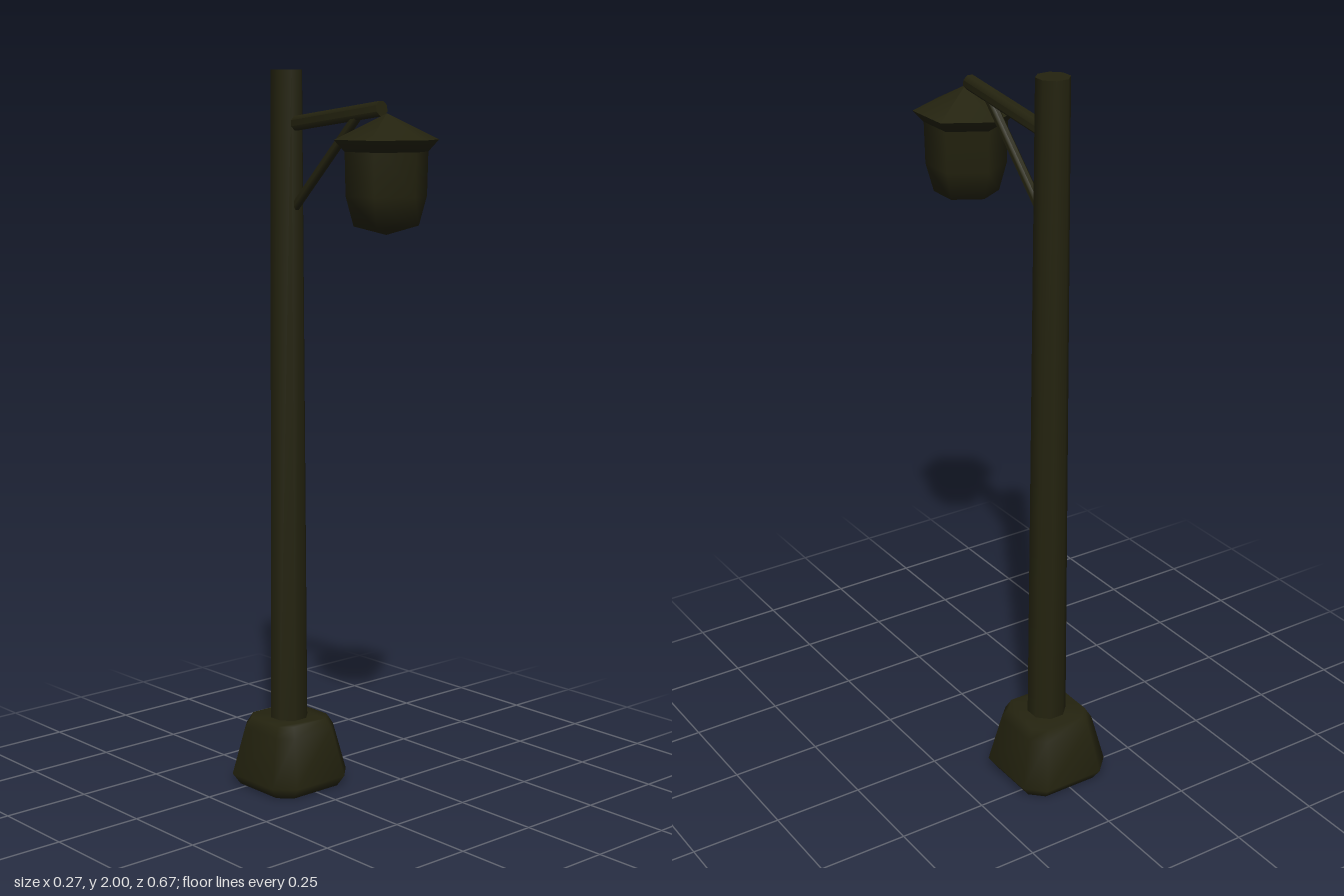
import * as THREE from 'three';
import { toCreasedNormals } from 'three/addons/utils/BufferGeometryUtils.js';

const iron = new THREE.MeshStandardMaterial({ color: 0x24230f });
iron.name = 'darkIron';
const POLE_Z = -0.198, LAMP_Z = 0.197;

function add(group, name, geometry) {
  const mesh = new THREE.Mesh(geometry, iron);
  mesh.name = name;
  group.add(mesh);
  return mesh;
}

// Revolved profile with few sides; points are [radius, height]
function turned(points, sides, phase = 0) {
  return new THREE.LatheGeometry(points.map(p => new THREE.Vector2(...p)), sides, phase);
}

// Square block with cut corners; rings are [height, half width, corner cut]
function chamferedBlock(rings) {
  const pos = [], idx = [], n = rings.length;
  for (const [y, h, c] of rings) {
    const k = h - c;
    for (const [x, z] of [[k, h], [h, k], [h, -k], [k, -h], [-k, -h], [-h, -k], [-h, k], [-k, h]]) pos.push(x, y, z);
  }
  for (let r = 0; r < n - 1; r++) {
    for (let i = 0; i < 8; i++) {
      const a = r * 8 + i, b = r * 8 + (i + 1) % 8;
      idx.push(a, b, b + 8, a, b + 8, a + 8);
    }
  }
  for (let i = 1; i < 7; i++) {
    const t = (n - 1) * 8;
    idx.push(0, i + 1, i, t, t + i, t + i + 1);
  }
  const g = new THREE.BufferGeometry();
  g.setAttribute('position', new THREE.Float32BufferAttribute(pos, 3));
  g.setIndex(idx);
  g.computeVertexNormals();
  return g;
}

// Straight octagonal bar between two points in the x = 0 plane, given as [y, z]
function bar(group, name, from, to, halfWidth) {
  const a = new THREE.Vector3(0, ...from), b = new THREE.Vector3(0, ...to);
  const dir = b.clone().sub(a), r = halfWidth / Math.cos(Math.PI / 8);
  const g = new THREE.CylinderGeometry(r, r, dir.length(), 8, 1, false, Math.PI / 8);
  const mesh = add(group, name, toCreasedNormals(g, 0.9));
  mesh.position.copy(a).add(b).multiplyScalar(0.5);
  mesh.quaternion.setFromUnitVectors(new THREE.Vector3(0, 1, 0), dir.normalize());
}

export function createModel() {
  const model = new THREE.Group();
  model.name = 'streetLamp';

  // Footing
  add(model, 'base', chamferedBlock([
    [0, 0.115, 0.035], [0.032, 0.137, 0.049], [0.168, 0.106, 0.038], [0.197, 0.09, 0.032],
  ])).position.z = POLE_Z;

  // Tapered octagonal pole
  const k = 1 / Math.cos(Math.PI / 8);
  const pole = new THREE.CylinderGeometry(0.041 * k, 0.05 * k, 1.805, 8, 1, false, Math.PI / 8);
  add(model, 'pole', toCreasedNormals(pole, 0.9)).position.set(0, 1.0975, POLE_Z);

  // Arm and its diagonal brace
  bar(model, 'arm', [1.855, -0.19], [1.9, 0.178], 0.019);
  bar(model, 'brace', [1.622, -0.178], [1.882, 0.088], 0.012);

  // Hanging hexagonal lantern
  const lantern = new THREE.Group();
  lantern.name = 'lantern';
  lantern.position.z = LAMP_Z;
  model.add(lantern);
  add(lantern, 'lanternBody', turned([[0, 1.58], [0.086, 1.603], [0.107, 1.68], [0.11, 1.81]], 6));
  add(lantern, 'roofUnderside', turned([[0, 1.79], [0.108, 1.79], [0.138, 1.822]], 6));
  add(lantern, 'roof', turned([[0.138, 1.822], [0, 1.888]], 6));

  return model;
}
